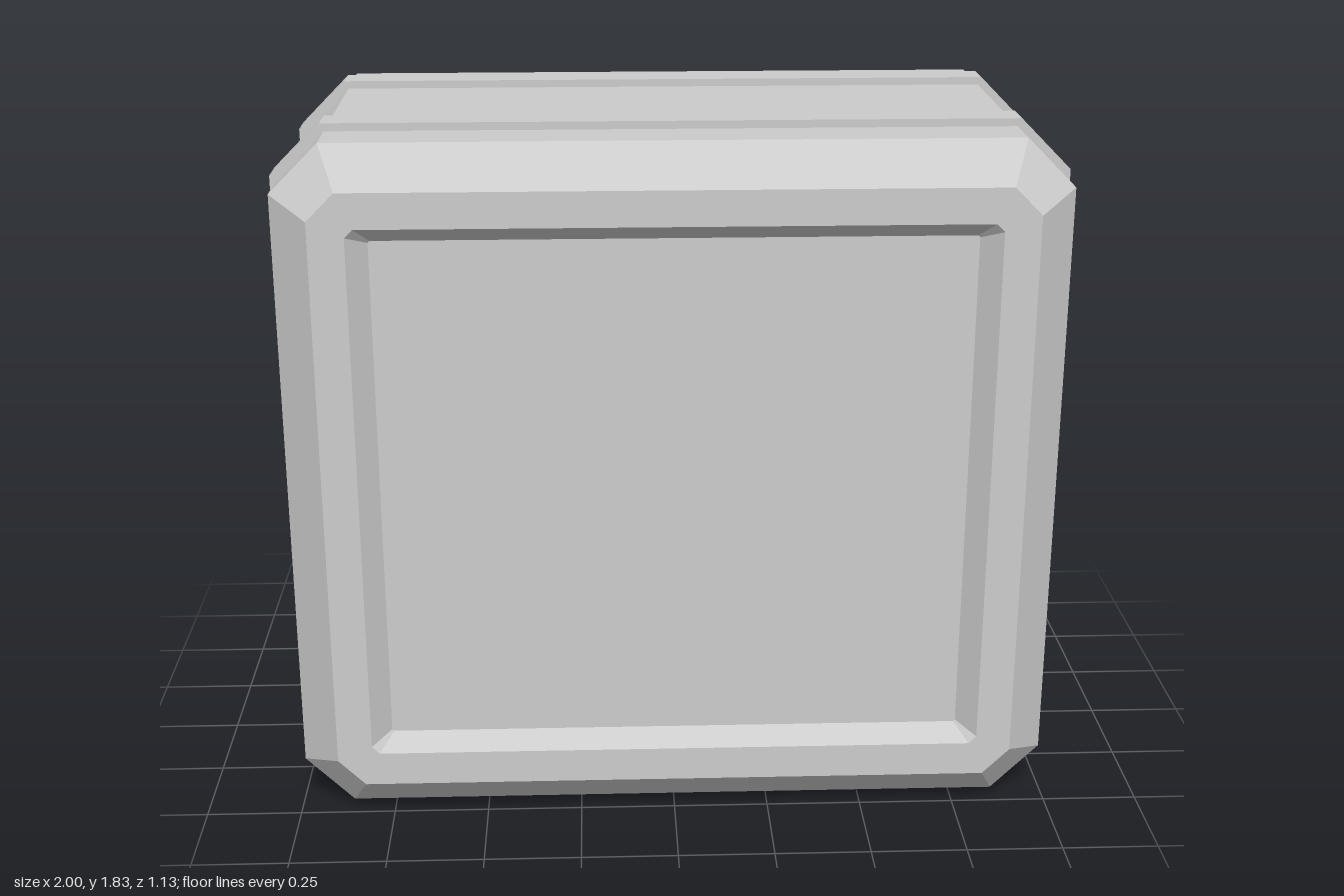
import * as THREE from 'three';

const CY = 0.915; // height of the centre

// Rectangle with cut corners, counter-clockwise seen from +z
function ring([hx, hy, c, z]) {
  return [
    [hx, -hy + c], [hx, hy - c], [hx - c, hy], [-hx + c, hy],
    [-hx, hy - c], [-hx, -hy + c], [-hx + c, -hy], [hx - c, -hy],
  ].map(([x, y]) => [x, y + CY, z]);
}

// Skin through successive rings
function loft(sections) {
  const pos = [];
  const rings = sections.map(ring);
  for (let k = 0; k + 1 < rings.length; k++) {
    const a = rings[k], b = rings[k + 1];
    for (let i = 0; i < 8; i++) {
      const j = (i + 1) % 8;
      pos.push(...a[i], ...a[j], ...b[j], ...a[i], ...b[j], ...b[i]);
    }
  }
  const g = new THREE.BufferGeometry();
  g.setAttribute('position', new THREE.Float32BufferAttribute(pos, 3));
  g.computeVertexNormals();
  return g;
}

export function createModel() {
  const group = new THREE.Group();
  const material = new THREE.MeshStandardMaterial({ color: 0xcccccc, flatShading: true });
  const add = (name, geometry) => {
    const mesh = new THREE.Mesh(geometry, material);
    mesh.name = name;
    group.add(mesh);
    return mesh;
  };

  // Casing: recess wall, flat rim, bevel and side, mirrored front to back
  const inner = [0.745, 0.665, 0.005, 0.515];
  const half = [
    [0.985, 0.895, 0.125, 0.465],
    [0.885, 0.795, 0.07, 0.565],
    [0.795, 0.705, 0.02, 0.565],
    inner,
  ];
  const back = half.map(([x, y, c, z]) => [x, y, c, -z]).reverse();
  add('casing', loft([...back, ...half]));

  // Sunken panels closing the front and back recesses
  const outline = new THREE.Shape(ring(inner).map(([x, y]) => new THREE.Vector2(x, y)));
  const panel = new THREE.ShapeGeometry(outline);
  add('frontPanel', panel).position.z = 0.515;
  const backPanel = add('backPanel', panel);
  backPanel.rotation.y = Math.PI;
  backPanel.position.z = -0.515;

  // Raised bands wrapped around the casing
  for (const [name, z] of [['frontBand', 0.2825], ['backBand', -0.2825]]) {
    const w = 0.0475;
    add(name, loft([
      [0.98, 0.89, 0.125, z - w], [1, 0.915, 0.13, z - w],
      [1, 0.915, 0.13, z + w], [0.98, 0.89, 0.125, z + w],
    ]));
  }
  return group;
}
